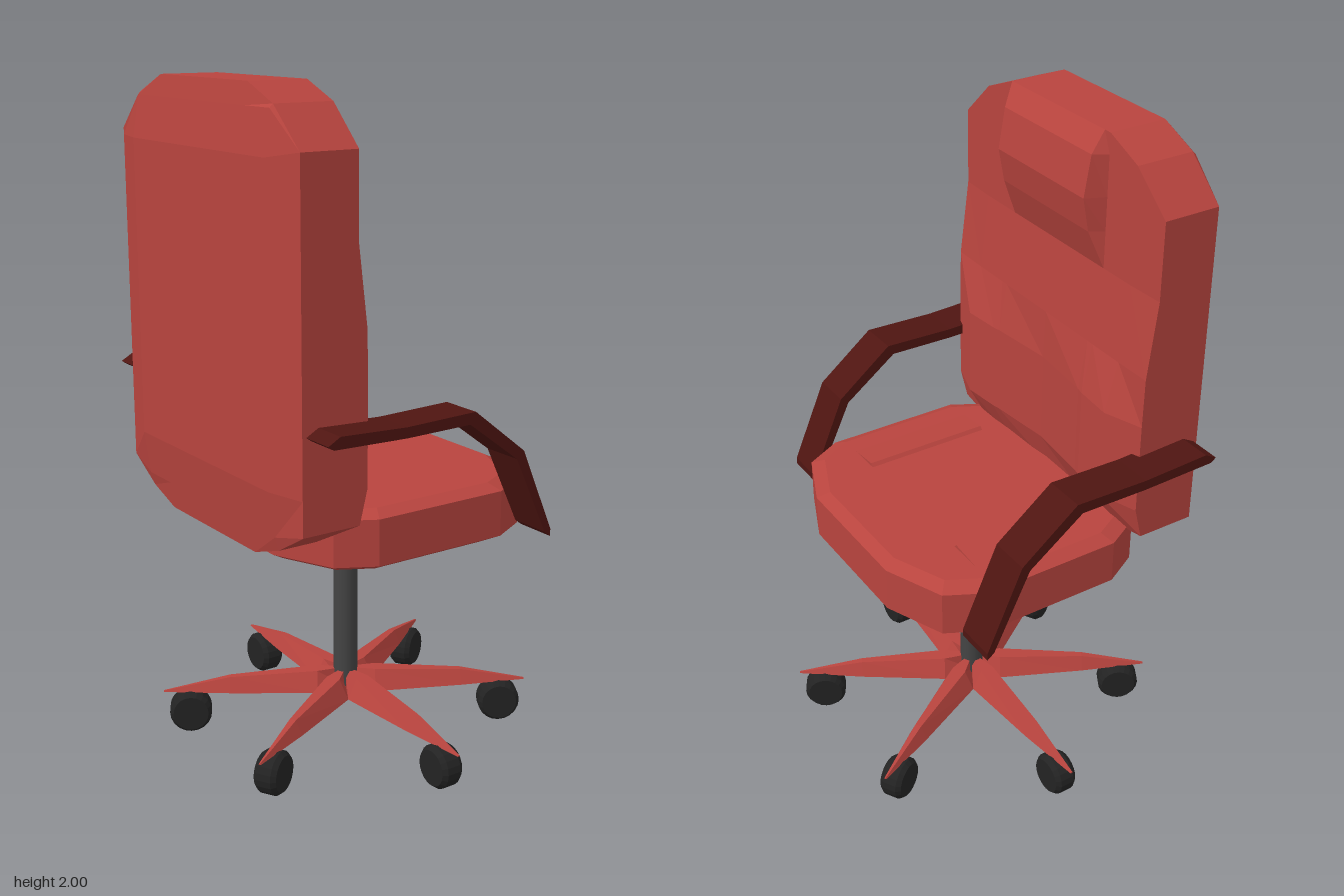
import * as THREE from 'three';

const mat = (color) => new THREE.MeshStandardMaterial({ color, flatShading: true });

function geometryFrom(points, index) {
  const g = new THREE.BufferGeometry();
  g.setAttribute('position', new THREE.Float32BufferAttribute(points.flat(), 3));
  g.setIndex(index);
  g.computeVertexNormals();
  return g;
}

// Skin a list of equal-length rings and cap both ends
function loft(rings) {
  const n = rings[0].length, last = (rings.length - 1) * n, index = [];
  for (let r = 0; r < rings.length - 1; r++) {
    for (let i = 0; i < n; i++) {
      const a = r * n + i, b = r * n + (i + 1) % n;
      index.push(a, b, b + n, a, b + n, a + n);
    }
  }
  for (let i = 1; i < n - 1; i++) index.push(0, i + 1, i, last, last + i, last + i + 1);
  return geometryFrom(rings.flat(), index);
}

// Backrest: a front and a back grid sharing one rounded outline
function backrestGeometry() {
  const half = [0, 0.205, 0.23, 0.35, 0.47];
  const bottom = [0.74, 0.74, 0.74, 0.78, 0.85];
  const top = [2, 2, 2, 1.95, 1.84];
  // height, then front depth for each half column
  const rows = [
    [0.74, -0.39, -0.39, -0.39, -0.34, -0.29],
    [0.82, -0.29, -0.285, -0.285, -0.285, -0.28],
    [0.95, -0.25, -0.23, -0.225, -0.215, -0.255],
    [1.23, -0.25, -0.23, -0.225, -0.215, -0.255],
    [1.38, -0.255, -0.255, -0.255, -0.255, -0.257],
    [1.61, -0.28, -0.28, -0.28, -0.28, -0.285],
    [1.72, -0.24, -0.24, -0.28, -0.28, -0.285],
    [1.82, -0.22, -0.22, -0.28, -0.28, -0.285],
    [1.94, -0.24, -0.24, -0.28, -0.28, -0.285],
    [2, -0.28, -0.28, -0.28, -0.28, -0.285],
  ];
  const cols = [-4, -3, -2, -1, 0, 1, 2, 3, 4];
  const R = rows.length - 1, C = cols.length - 1, count = rows.length * cols.length;
  const front = [], back = [], index = [];
  for (const [h, ...depth] of rows) {
    for (const c of cols) {
      const k = Math.abs(c), z = Math.sign(c) * half[k];
      const y = THREE.MathUtils.clamp(h, bottom[k], top[k]);
      const rim = Math.max(0, (0.95 - h) / 0.21, (h - 1.83) / 0.17);
      front.push([depth[k], y, z]);
      back.push([k === 4 ? -0.46 : -0.49 + 0.03 * rim, y, z]);
    }
  }
  const f = (r, c) => r * cols.length + c, b = (r, c) => f(r, c) + count;
  const quad = (p, q, s, t) => index.push(p, q, s, p, s, t);
  for (let r = 0; r < R; r++) {
    for (let c = 0; c < C; c++) {
      quad(f(r, c), f(r + 1, c), f(r + 1, c + 1), f(r, c + 1));
      quad(b(r, c), b(r, c + 1), b(r + 1, c + 1), b(r + 1, c));
    }
    quad(b(r, C), f(r, C), f(r + 1, C), b(r + 1, C));
    quad(b(r, 0), b(r + 1, 0), f(r + 1, 0), f(r, 0));
  }
  for (let c = 0; c < C; c++) {
    quad(b(R, c), b(R, c + 1), f(R, c + 1), f(R, c));
    quad(b(0, c), f(0, c), f(0, c + 1), b(0, c + 1));
  }
  return geometryFrom([...front, ...back], index);
}

export function createModel() {
  const model = new THREE.Group();
  const red = mat(0xb8443e), darkRed = mat(0x4f1511), black = mat(0x232323);
  const steel = new THREE.MeshStandardMaterial({ color: 0x444444 });
  const add = (name, geometry, material, parent = model) => {
    const mesh = new THREE.Mesh(geometry, material);
    mesh.name = name;
    parent.add(mesh);
    return mesh;
  };

  add('backrest', backrestGeometry(), red);

  // Seat cushion: chamfered corners, bevelled top and bottom edges
  const outline = [[-0.2, 0.45], [0.23, 0.45], [0.345, 0.39], [0.42, 0.21],
    [0.42, -0.21], [0.345, -0.39], [0.23, -0.45], [-0.2, -0.45],
    [-0.31, -0.39], [-0.39, -0.21], [-0.39, 0.21], [-0.31, 0.39]];
  const seatRings = [[0.68, 0.87], [0.71, 1], [0.845, 1], [0.864, 0.91]].map(
    ([y, s]) => outline.map(([x, z]) => [0.015 + (x - 0.015) * s, y, z * s]));
  add('seat', loft(seatRings), red);

  // Side pads on the seat, and the armrests
  const armShape = new THREE.Shape([[-0.448, 1.12], [-0.43, 1.108], [-0.2, 1.102], [0.01, 1.105],
    [0.178, 0.98], [0.29, 0.745], [0.312, 0.728], [0.312, 0.75], [0.203, 1], [0.028, 1.138],
    [-0.2, 1.132], [-0.41, 1.141]].map(([x, y]) => new THREE.Vector2(x, y)));
  for (const side of [1, -1]) {
    const label = side > 0 ? 'front' : 'back';
    const wedge = [[0.855, 0.23], [0.874, 0.248], [0.858, 0.405]];
    if (side < 0) wedge.reverse();
    add(label + 'SeatPad', loft([-0.19, 0.21].map((x) => wedge.map(([y, z]) => [x, y, z * side]))), red);
    const arm = new THREE.ExtrudeGeometry(armShape, { depth: 0.125, bevelEnabled: false });
    arm.translate(0, 0, side > 0 ? 0.445 : -0.57);
    add(label + 'Armrest', arm, darkRed);
  }

  // Gas column
  const column = add('column', new THREE.CylinderGeometry(0.037, 0.037, 0.56, 20), steel);
  column.position.y = 0.42;

  // Six-legged base with casters
  const legRings = [[0, 0.004, 0.002, 0.19], [0.09, 0.052, 0.022, 0.188],
    [0.36, 0.03, 0.01, 0.172], [0.565, 0.004, 0.002, 0.131]].map(
    ([r, w, t, y]) => [[r, 0.127, -w], [r, y, -t], [r, y, t], [r, 0.127, w]]);
  const legGeometry = loft(legRings);
  const wheelProfile = [[0, -0.036], [0.054, -0.036], [0.065, -0.022], [0.065, 0.022],
    [0.054, 0.036], [0, 0.036]].map(([x, y]) => new THREE.Vector2(x, y));
  const wheelGeometry = new THREE.LatheGeometry(wheelProfile, 20).rotateX(Math.PI / 2);
  for (let i = 0; i < 6; i++) {
    const leg = new THREE.Group();
    leg.name = 'baseLeg' + (i + 1);
    leg.rotation.y = Math.PI / 6 + i * Math.PI / 3;
    add('leg', legGeometry, red, leg);
    add('caster', wheelGeometry, black, leg).position.set(0.483, 0.065, 0);
    model.add(leg);
  }
  return model;
}
